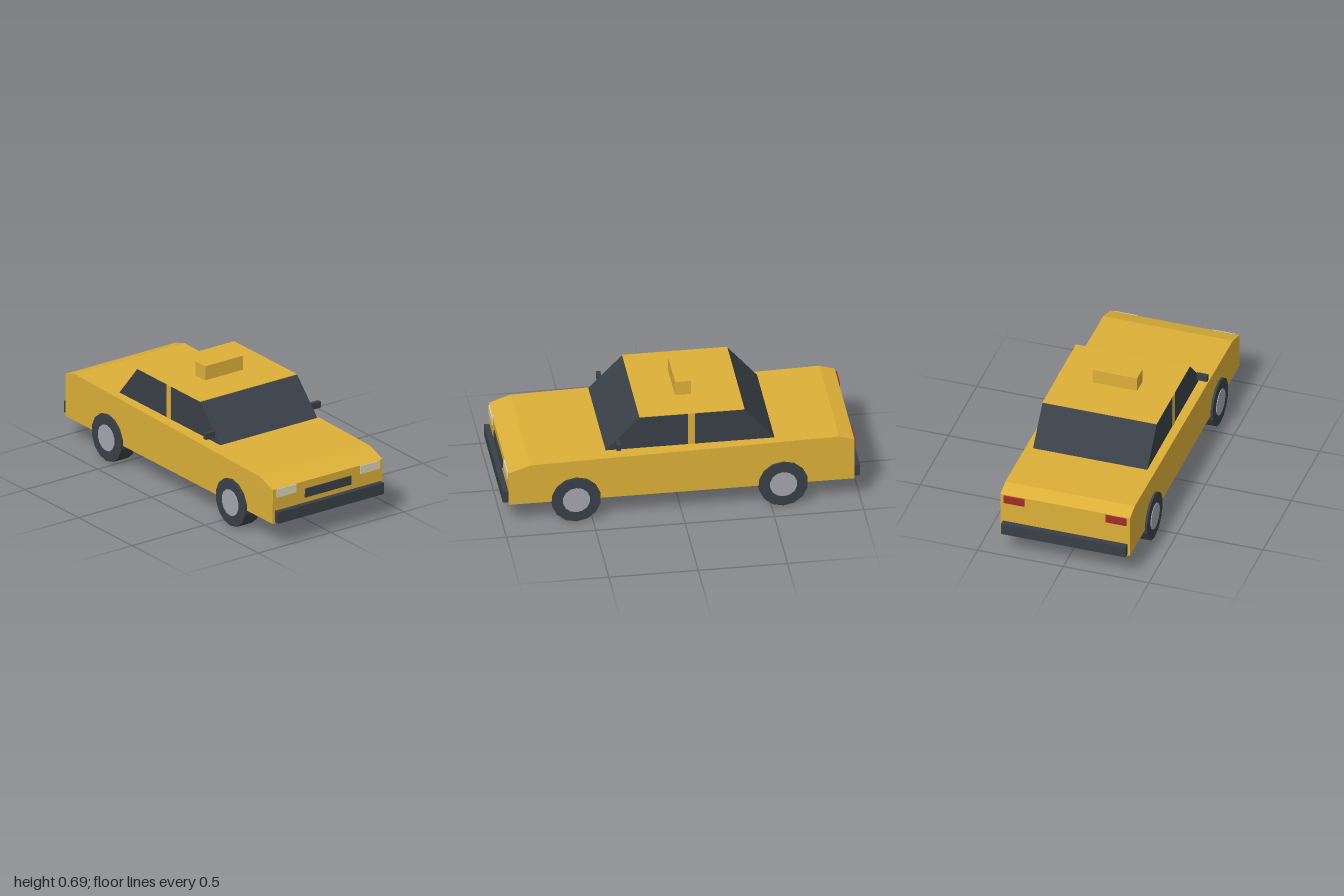
import * as THREE from 'three';

const paint = (name, color) => {
  const m = new THREE.MeshStandardMaterial({ color });
  m.name = name;
  return m;
};

export function createModel() {
  const car = new THREE.Group();
  car.name = 'taxi';
  const yellow = paint('yellow paint', 0xdcb038);
  const dark = paint('dark glass and rubber', 0x394047);
  const silver = paint('silver hub', 0xa4a6ac);
  const cream = paint('headlight cream', 0xdcd5ba);
  const red = paint('tail light red', 0xa32c2c);

  const add = (name, geometry, material) => {
    const mesh = new THREE.Mesh(geometry, material);
    mesh.name = name;
    car.add(mesh);
    return mesh;
  };
  // Box given by its limits on each axis
  const box = (name, material, [x0, x1], [y0, y1], [z0, z1]) =>
    add(name, new THREE.BoxGeometry(x1 - x0, y1 - y0, z1 - z0), material)
      .position.set((x0 + x1) / 2, (y0 + y1) / 2, (z0 + z1) / 2);
  // Side profile of [z, y] points extruded across the car
  const profile = (name, material, points, width) => {
    const shape = new THREE.Shape(points.map(([z, y]) => new THREE.Vector2(z, y)));
    const g = new THREE.ExtrudeGeometry(shape, { depth: width, bevelEnabled: false });
    g.translate(0, 0, -width / 2).rotateY(-Math.PI / 2);
    return add(name, g, material);
  };

  // Lower body with sloped nose and tail
  profile('body', yellow, [
    [-0.966, 0.133], [0.968, 0.133], [0.97, 0.337], [0.85, 0.378],
    [-0.88, 0.412], [-0.966, 0.386],
  ], 0.756);

  // Glasshouse, roof skin and roof sign
  profile('cabinGlass', dark, [[-0.525, 0.411], [0.42, 0.411], [0.231, 0.607], [-0.358, 0.607]], 0.666);
  box('roof', yellow, [-0.333, 0.333], [0.607, 0.61], [-0.358, 0.231]);
  box('roofSign', yellow, [-0.13, 0.13], [0.61, 0.694], [-0.088, 0.002]);

  // Bumpers and grille
  box('frontBumper', dark, [-0.363, 0.363], [0.141, 0.209], [0.96, 1]);
  box('rearBumper', dark, [-0.363, 0.363], [0.141, 0.209], [-1, -0.96]);
  box('grille', dark, [-0.158, 0.158], [0.24, 0.292], [0.967, 0.976]);

  for (const s of [-1, 1]) {
    const side = s > 0 ? 'left' : 'right';
    const span = (a, b) => (s > 0 ? [a, b] : [-b, -a]);
    box(side + 'Headlight', cream, span(0.22, 0.353), [0.287, 0.336], [0.967, 0.976]);
    box(side + 'TailLight', red, span(0.237, 0.358), [0.335, 0.381], [-0.975, -0.966]);
    box(side + 'DoorPillar', yellow, span(0.33, 0.336), [0.411, 0.609], [-0.079, -0.041]);
    box(side + 'Mirror', dark, span(0.33, 0.395), [0.44, 0.477], [0.344, 0.368]);

    // Wheels: faceted tyre with a hub running through it
    for (const [end, z] of [['Front', 0.592], ['Rear', -0.567]]) {
      const wheel = (name, r, width, material) => {
        const g = new THREE.CylinderGeometry(r, r, width, 14, 1, false, Math.PI / 2).toNonIndexed();
        g.rotateZ(Math.PI / 2);
        g.computeVertexNormals();
        add(side + end + name, g, material).position.set(s * 0.341, 0.139, z);
      };
      wheel('Tyre', 0.139, 0.1, dark);
      wheel('Hub', 0.077, 0.108, silver);
    }
  }
  return car;
}
